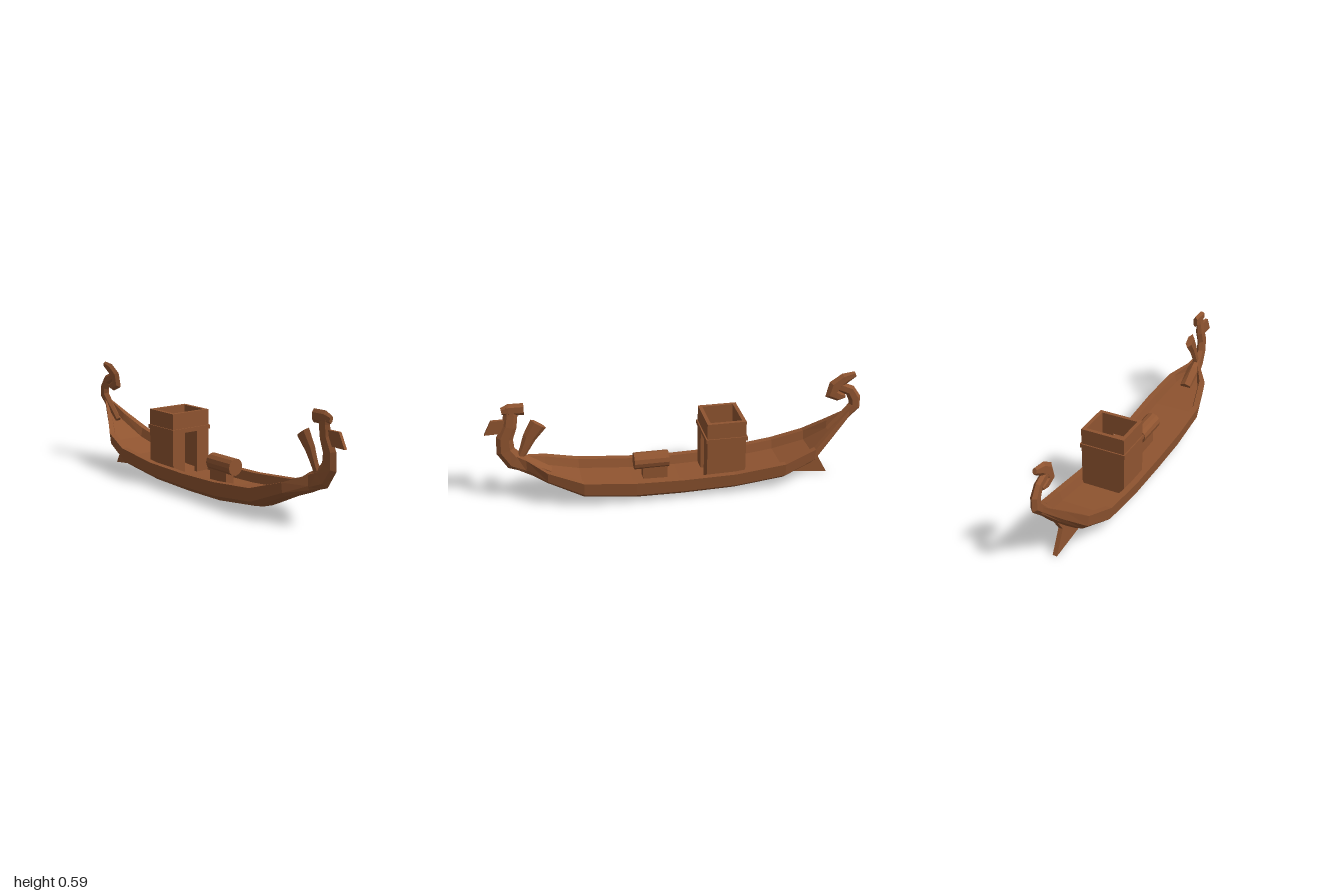
import * as THREE from 'three';

const wood = new THREE.MeshStandardMaterial({ color: 0x8f5430 });

export function createModel() {
  const boat = new THREE.Group();
  boat.name = 'boat';

  // Every part is faceted
  function add(name, geometry, parent = boat) {
    const flat = geometry.index ? geometry.toNonIndexed() : geometry;
    flat.computeVertexNormals();
    const mesh = new THREE.Mesh(flat, wood);
    mesh.name = name;
    parent.add(mesh);
    return mesh;
  }

  // Skin over closed rings that turn counter-clockwise about the direction of travel
  function loft(rings) {
    const n = rings[0].length;
    const position = [], index = [];
    rings.forEach(ring => ring.forEach(p => position.push(...p)));
    for (let r = 0; r < rings.length - 1; r++) {
      for (let i = 0; i < n; i++) {
        const a = r * n + i, b = r * n + (i + 1) % n;
        index.push(a, b, b + n, a, b + n, a + n);
      }
    }
    const last = (rings.length - 1) * n, pivot = 4 % n;
    for (let k = 1; k < n - 1; k++) {
      const i = (pivot + k) % n, j = (pivot + k + 1) % n;
      index.push(pivot, j, i, last + pivot, last + i, last + j);
    }
    const g = new THREE.BufferGeometry();
    g.setAttribute('position', new THREE.Float32BufferAttribute(position, 3));
    g.setIndex(index);
    return g;
  }

  // Six-sided limb in the centre plane; points are [z, y, in-plane radius, side radius]
  function limb(name, points) {
    const rings = points.map(([z, y, r, rx], i) => {
      const p = points[Math.max(i - 1, 0)], q = points[Math.min(i + 1, points.length - 1)];
      const t = new THREE.Vector3(0, q[1] - p[1], q[0] - p[0]).normalize();
      const nrm = t.clone().cross(new THREE.Vector3(1, 0, 0));
      return Array.from({ length: 6 }, (_, k) => {
        const a = Math.PI / 2 + k * Math.PI / 3;
        const c = Math.cos(a) * rx * 1.15, s = Math.sin(a) * r;
        return [c, y + nrm.y * s, z + nrm.z * s];
      });
    });
    return add(name, loft(rings));
  }

  // Flat plate in the centre plane; outline is [z, y]
  function plate(name, outline, thickness) {
    const shape = new THREE.Shape(outline.map(p => new THREE.Vector2(...p)));
    const g = new THREE.ExtrudeGeometry(shape, { depth: thickness, bevelEnabled: false });
    g.translate(0, 0, -thickness / 2).rotateY(-Math.PI / 2);
    return add(name, g);
  }

  function box(name, x0, x1, y0, y1, z0, z1, parent) {
    const g = new THREE.BoxGeometry(x1 - x0, y1 - y0, z1 - z0);
    g.translate((x0 + x1) / 2, (y0 + y1) / 2, (z0 + z1) / 2);
    return add(name, g, parent);
  }

  // Hull with sunken deck: [z, half width, rim height, keel height], bow to stern
  const stations = [
    [0.86, 0.016, 0.28, 0.195], [0.8, 0.036, 0.255, 0.165], [0.7, 0.112, 0.21, 0.125],
    [0.52, 0.155, 0.152, 0.038], [0.25, 0.158, 0.127, 0.006], [0, 0.158, 0.12, 0.003],
    [-0.28, 0.16, 0.125, 0.01], [-0.55, 0.162, 0.157, 0.042], [-0.72, 0.132, 0.212, 0.11],
    [-0.83, 0.07, 0.292, 0.21], [-0.94, 0.014, 0.372, 0.325],
  ];
  const half = [[1, 1], [0.94, 0.39], [0.72, 0.15], [0.38, 0.04]];
  add('hull', loft(stations.map(([z, w, top, keel]) => {
    const h = top - keel;
    const side = half.map(([u, v]) => [u * w, keel + v * h, z]);
    const mirror = side.map(([x, y]) => [-x, y, z]).reverse();
    const inner = w - Math.min(0.033, w * 0.4);
    const floor = inner - Math.min(0.012, w * 0.1);
    const deck = top - Math.min(0.048, h * 0.5);
    return [...side, [0, keel, z], ...mirror,
      [-inner, top, z], [-floor, deck, z], [floor, deck, z], [inner, top, z]];
  })));

  // Bow stem with its bent head and two blades
  limb('bowStem', [
    [0.68, 0.165, 0.025, 0.03], [0.79, 0.215, 0.045, 0.033], [0.86, 0.245, 0.053, 0.022],
    [0.9, 0.305, 0.048, 0.018], [0.9, 0.375, 0.043, 0.018], [0.872, 0.44, 0.038, 0.018],
    [0.862, 0.5, 0.036, 0.014], [0.862, 0.55, 0.035, 0.012],
  ]);
  limb('bowHead', [[0.905, 0.528, 0.02, 0.01], [0.87, 0.533, 0.033, 0.014], [0.793, 0.532, 0.033, 0.012]]);
  plate('frontBlade', [[1, 0.405], [0.962, 0.48], [0.88, 0.48], [0.88, 0.408]], 0.016);
  limb('rearBlade', [
    [0.845, 0.23, 0.02, 0.012], [0.805, 0.305, 0.025, 0.013],
    [0.775, 0.37, 0.035, 0.015], [0.725, 0.443, 0.046, 0.018],
  ]);

  // Stern stem rising into a curl
  limb('sternStem', [
    [-0.83, 0.255, 0.025, 0.014], [-0.915, 0.34, 0.03, 0.016], [-0.964, 0.39, 0.036, 0.018],
    [-0.963, 0.435, 0.034, 0.018], [-0.935, 0.482, 0.03, 0.016], [-0.87, 0.51, 0.028, 0.014],
  ]);
  limb('sternCurl', [
    [-0.908, 0.45, 0.012, 0.01], [-0.875, 0.453, 0.028, 0.014], [-0.838, 0.472, 0.043, 0.015],
    [-0.85, 0.515, 0.04, 0.015], [-0.9, 0.553, 0.033, 0.014], [-0.958, 0.574, 0.017, 0.01],
  ]);

  // Fin under the stern
  plate('sternFin', [[-0.5, 0.04], [-0.83, 0.004], [-0.765, 0.125], [-0.83, 0.225], [-0.7, 0.15]], 0.024);

  // Open-topped cabin with a doorway facing the bow
  const cabin = new THREE.Group();
  cabin.name = 'cabin';
  boat.add(cabin);
  const zb = -0.337, zf = -0.13, t = 0.02, base = 0.07, top = 0.41;
  box('backWall', -0.12, 0.12, base, top, zb, zb + t, cabin);
  for (const s of [-1, 1]) {
    const x = s * 0.11;
    box('sideWall', x - t / 2, x + t / 2, base, top, zb + t, zf - t, cabin);
    const p = s * 0.08;
    box('doorPost', p - 0.04, p + 0.04, base, 0.3, zf - t, zf, cabin);
    box('bandSide', s * 0.1225 - 0.0035, s * 0.1225 + 0.0035, 0.303, 0.325, zb - 0.007, zf + 0.007, cabin);
  }
  box('lintel', -0.12, 0.12, 0.3, top, zf - t, zf, cabin);
  box('bandFront', -0.119, 0.119, 0.303, 0.325, zf, zf + 0.007, cabin);
  box('bandBack', -0.119, 0.119, 0.303, 0.325, zb - 0.007, zb, cabin);

  // Barrel lying on its stand
  const barrel = new THREE.CylinderGeometry(0.045, 0.045, 0.185, 12);
  barrel.rotateX(Math.PI / 2).translate(0, 0.176, 0.148);
  add('barrel', barrel);
  box('barrelStand', -0.026, 0.026, 0.07, 0.15, 0.065, 0.195);

  return boat;
}
